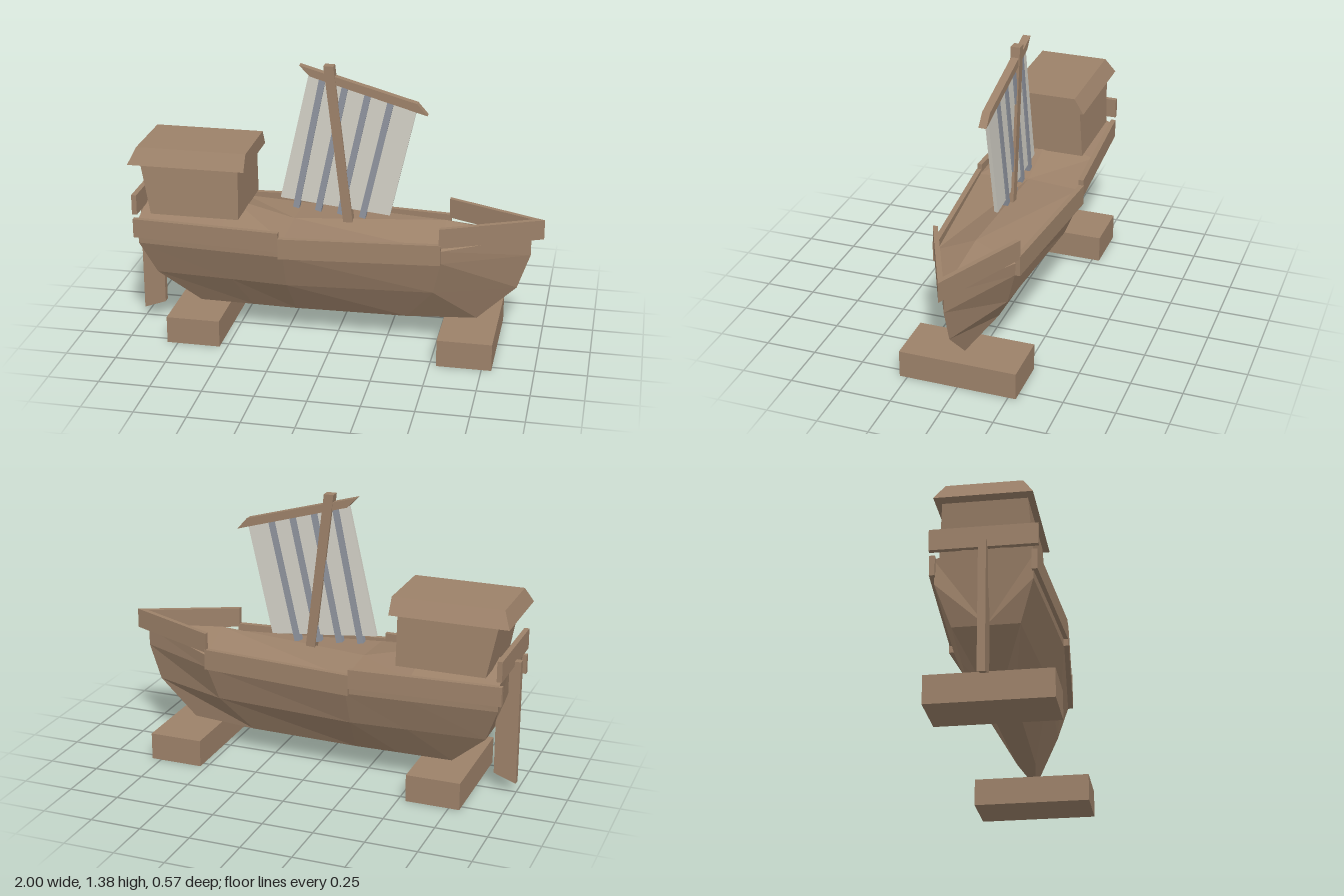
import * as THREE from 'three';

const wood = new THREE.MeshStandardMaterial({ color: 0x9c8169 });
wood.name = 'wood';
const canvas = new THREE.MeshStandardMaterial({ color: 0xd2d0c6 });
canvas.name = 'canvas';
const slate = new THREE.MeshStandardMaterial({ color: 0x8f949e });
slate.name = 'slate';

function add(parent, name, geometry, material) {
  const mesh = new THREE.Mesh(geometry, material);
  mesh.name = name;
  parent.add(mesh);
  return mesh;
}

// Upright plate: outline in x, y with its thickness centred on z = 0
function plate(points, depth) {
  const shape = new THREE.Shape(points.map(([x, y]) => new THREE.Vector2(x, y)));
  return new THREE.ExtrudeGeometry(shape, { depth, bevelEnabled: false }).translate(0, 0, -depth / 2);
}

// Board: outline in x, z raised from y0 to y1
function board(points, y0, y1) {
  const shape = new THREE.Shape(points.map(([x, z]) => new THREE.Vector2(x, -z)));
  return new THREE.ExtrudeGeometry(shape, { depth: y1 - y0, bevelEnabled: false })
    .rotateX(-Math.PI / 2).translate(0, y0, 0);
}

// Box whose bottom and top are each given as [y, xMin, xMax, halfWidth]
function taperedBox(bottom, top) {
  const g = new THREE.BoxGeometry(1, 1, 1).toNonIndexed();
  const p = g.attributes.position;
  for (let i = 0; i < p.count; i++) {
    const [y, x0, x1, w] = p.getY(i) > 0 ? top : bottom;
    p.setXYZ(i, p.getX(i) > 0 ? x1 : x0, y, p.getZ(i) > 0 ? w : -w);
  }
  g.computeVertexNormals();
  return g;
}

// Faceted hull and deck, lofted through closed sections from stern to bow
function hullGeometry() {
  // Each station: deck ridge height, then [x, y, half width] from sheer to keel
  const stations = [
    [0.675, [-0.95, 0.61, 0.22], [-0.95, 0.49, 0.215], [-0.88, 0.315, 0.15], [-0.69, 0.135, 0.05]],
    [0.67, [-0.53, 0.6, 0.245], [-0.53, 0.49, 0.242], [-0.5, 0.315, 0.172], [-0.42, 0.135, 0.055]],
    [0.592, [-0.22, 0.575, 0.262], [-0.22, 0.49, 0.26], [-0.22, 0.315, 0.19], [-0.2, 0.135, 0.06]],
    [0.64, [0.53, 0.555, 0.195], [0.53, 0.49, 0.19], [0.49, 0.315, 0.14], [0.35, 0.135, 0.045]],
    [0.6, [0.94, 0.585, 0], [0.94, 0.49, 0], [0.88, 0.315, 0], [0.69, 0.135, 0]],
  ];
  const rings = stations.map(([ridge, ...side]) => [
    [side[0][0], ridge, 0],
    ...side,
    ...side.slice().reverse().map(([x, y, z]) => [x, y, -z]),
  ]);
  const out = [];
  const n = rings[0].length;
  for (let i = 0; i < rings.length - 1; i++) {
    for (let j = 0; j < n; j++) {
      const k = (j + 1) % n;
      const a = rings[i][j], b = rings[i][k], c = rings[i + 1][k], d = rings[i + 1][j];
      out.push(...a, ...b, ...c, ...a, ...c, ...d);
    }
  }
  // Transom
  const centre = [-0.88, 0.315, 0];
  for (let j = 0; j < n; j++) out.push(...centre, ...rings[0][(j + 1) % n], ...rings[0][j]);
  const g = new THREE.BufferGeometry();
  g.setAttribute('position', new THREE.Float32BufferAttribute(out, 3));
  g.computeVertexNormals();
  return g;
}

export function createModel() {
  const ship = new THREE.Group();
  ship.name = 'sailingShip';

  add(ship, 'hull', hullGeometry(), wood);

  // Gunwale boards, mirrored on both sides
  for (const s of [1, -1]) {
    const side = s > 0 ? 'left' : 'right';
    const m = (pts) => pts.map(([x, z]) => [x, z * s]);
    add(ship, side + 'SternRail', board(m([[-0.97, 0.235], [-0.24, 0.28], [-0.24, 0.255], [-0.97, 0.21]]), 0.525, 0.62), wood);
    add(ship, side + 'MiddleRail', board(m([[-0.24, 0.283], [0.53, 0.215], [0.53, 0.19], [-0.24, 0.258]]), 0.49, 0.592), wood);
    add(ship, side + 'BowRail', board(m([[0.522, 0.215], [1, 0], [0.94, 0], [0.522, 0.19]]), 0.577, 0.675), wood);
  }
  add(ship, 'sternBoard', board([[-0.97, -0.24], [-0.97, 0.24], [-0.945, 0.24], [-0.945, -0.24]], 0.647, 0.747), wood);

  // Rudder
  add(ship, 'rudder', plate([[-1, 0.05], [-0.89, 0.09], [-0.89, 0.36], [-0.945, 0.5], [-0.945, 0.67], [-1, 0.67]], 0.035), wood);

  // Cabin with overhanging roof
  add(ship, 'cabin', taperedBox([0.645, -0.885, -0.45, 0.208], [0.9, -0.935, -0.45, 0.19]), wood);
  add(ship, 'cabinRoof', taperedBox([0.893, -0.99, -0.415, 0.22], [0.97, -0.955, -0.415, 0.173]), wood);

  // Mast, yard, sail and battens
  add(ship, 'mast', plate([[0.03, 0.585], [0.077, 0.585], [-0.02, 1.38], [-0.068, 1.38]], 0.046), wood);
  add(ship, 'yard', plate([[-0.185, 1.377], [-0.135, 1.325], [0.43, 1.163], [0.38, 1.22]], 0.038), wood);
  add(ship, 'sail', plate([[-0.285, 0.7], [0.255, 0.645], [0.378, 1.19], [-0.14, 1.338]], 0.018), canvas);
  for (let i = 0; i < 4; i++) {
    const x = -0.207 + i * 0.109;
    const y = 0.655 - i * 0.01;
    const topX = x + 0.133;
    const topY = 1.318 - i * 0.033;
    add(ship, 'sailBatten', plate([[x - 0.015, y + 0.004], [x + 0.015, y - 0.004], [topX + 0.015, topY - 0.008], [topX - 0.015, topY]], 0.034), slate);
  }

  // Support blocks under the keel
  for (const x of [-0.67, 0.665]) {
    add(ship, 'supportBlock', new THREE.BoxGeometry(0.265, 0.135, 0.575), wood).position.set(x, 0.0675, 0);
  }
  return ship;
}
